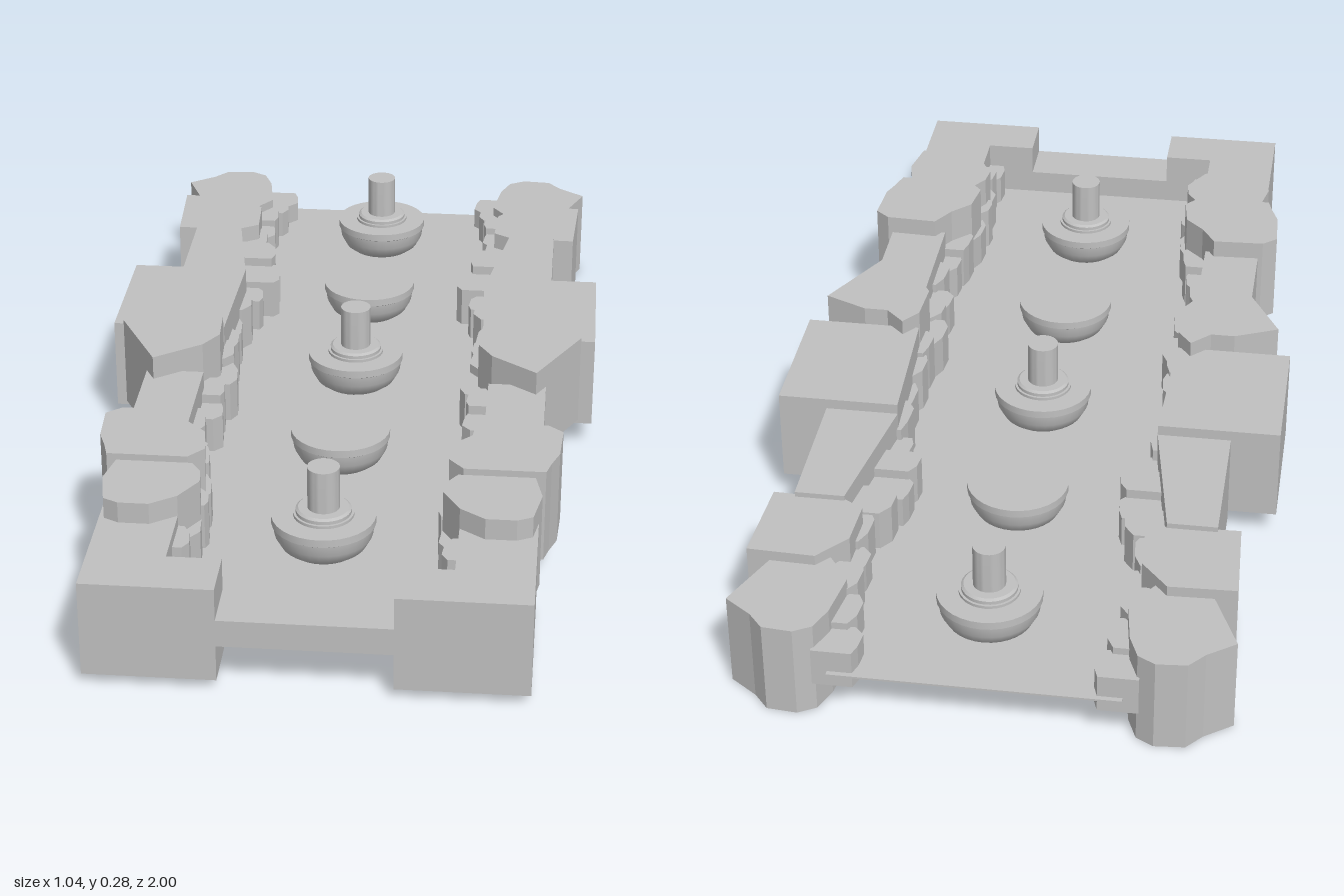
import * as THREE from 'three';
import { toCreasedNormals } from 'three/addons/utils/BufferGeometryUtils.js';

const stone = new THREE.MeshStandardMaterial({ color: 0xc0c0c0 });
stone.name = 'light grey';

// Upright prism from a plan outline of [x, z] points, between two heights
function prism(name, outline, y0, y1, side = 1) {
  const shape = new THREE.Shape(outline.map(([x, z]) => new THREE.Vector2(x * side, -z)));
  const geo = new THREE.ExtrudeGeometry(shape, { depth: y1 - y0, bevelEnabled: false });
  geo.rotateX(-Math.PI / 2).translate(0, y0, 0);
  const mesh = new THREE.Mesh(geo, stone);
  mesh.name = name;
  return mesh;
}

function box(name, x0, x1, y0, y1, z0, z1) {
  const mesh = new THREE.Mesh(new THREE.BoxGeometry(x1 - x0, y1 - y0, z1 - z0), stone);
  mesh.position.set((x0 + x1) / 2, (y0 + y1) / 2, (z0 + z1) / 2);
  mesh.name = name;
  return mesh;
}

function lathe(name, profile) {
  const pts = profile.map(([r, y]) => new THREE.Vector2(r, y));
  const mesh = new THREE.Mesh(toCreasedNormals(new THREE.LatheGeometry(pts, 32), 0.6), stone);
  mesh.name = name;
  return mesh;
}

// Large border blocks of one side, front to back: name, bottom, top, outline
const BLOCKS = [
  ['frontBlock', 0.025, 0.222, [[0.165, 1], [0.42, 1], [0.42, 0.69], [0.27, 0.69], [0.27, 0.89], [0.165, 0.89]]],
  ['roundRock', 0.068, 0.266, [[0.26, 0.61], [0.41, 0.61], [0.425, 0.68], [0.41, 0.76], [0.38, 0.775],
    [0.32, 0.775], [0.27, 0.74], [0.235, 0.68], [0.24, 0.64]]],
  ['bulgingRock', 0.08, 0.277, [[0.32, 0.41], [0.43, 0.415], [0.46, 0.44], [0.455, 0.53], [0.44, 0.57],
    [0.43, 0.605], [0.27, 0.605], [0.24, 0.57], [0.25, 0.5], [0.29, 0.46]]],
  ['sideBlock', 0.047, 0.238, [[0.3, 0.17], [0.42, 0.17], [0.42, 0.43], [0.3, 0.43]]],
  ['turnedBlock', 0.092, 0.288, [[0.49, 0.04], [0.4, 0.21], [0.305, 0.14], [0.275, 0.09], [0.28, 0],
    [0.31, -0.04], [0.35, 0], [0.4, 0]]],
  ['wideBlock', 0.057, 0.255, [[0.27, -0.31], [0.52, -0.31], [0.52, -0.01], [0.28, -0.01]]],
  ['longBlock', 0.038, 0.233, [[0.32, -0.61], [0.42, -0.61], [0.42, -0.31], [0.27, -0.31]]],
  ['slantedRock', 0.027, 0.222, [[0.465, -0.6], [0.475, -0.79], [0.34, -0.795], [0.285, -0.73], [0.28, -0.63], [0.32, -0.605]]],
  ['backRock', 0.003, 0.2, [[0.485, -0.92], [0.43, -0.79], [0.32, -0.76], [0.27, -0.83], [0.285, -0.93],
    [0.305, -0.98], [0.34, -1], [0.4, -0.995], [0.43, -0.96]]],
];

// Small stones along the inner edge: back z, front z, inner x, outer x, bottom, top
const PEBBLES = [
  [-0.99, -0.91, 0.22, 0.31, 0.07, 0.15], [-0.92, -0.83, 0.235, 0.31, 0.06, 0.165],
  [-0.84, -0.75, 0.25, 0.34, 0.075, 0.18], [-0.76, -0.68, 0.25, 0.31, 0.06, 0.165],
  [-0.69, -0.59, 0.26, 0.33, 0.07, 0.185], [-0.6, -0.51, 0.23, 0.33, 0.065, 0.19],
  [-0.52, -0.44, 0.21, 0.32, 0.08, 0.17], [-0.45, -0.38, 0.205, 0.3, 0.07, 0.19],
  [-0.39, -0.31, 0.235, 0.3, 0.06, 0.175], [-0.32, -0.21, 0.25, 0.3, 0.075, 0.2],
  [-0.22, -0.11, 0.26, 0.3, 0.07, 0.18], [-0.12, -0.03, 0.255, 0.3, 0.06, 0.2],
  [-0.04, 0.05, 0.255, 0.32, 0.056, 0.21], [0.03, 0.13, 0.238, 0.32, 0.066, 0.19],
  [0.12, 0.2, 0.255, 0.32, 0.07, 0.2], [0.19, 0.27, 0.25, 0.32, 0.075, 0.18],
  [0.26, 0.36, 0.275, 0.32, 0.07, 0.2], [0.35, 0.43, 0.26, 0.32, 0.08, 0.18],
  [0.42, 0.51, 0.245, 0.33, 0.075, 0.2], [0.5, 0.6, 0.23, 0.3, 0.066, 0.18],
  [0.59, 0.66, 0.225, 0.3, 0.07, 0.2], [0.65, 0.75, 0.23, 0.3, 0.08, 0.18],
  [0.74, 0.82, 0.24, 0.3, 0.07, 0.2], [0.8, 0.885, 0.23, 0.29, 0.075, 0.17],
];

function pebbleOutline([z0, z1, x0, x1], i) {
  const d = z1 - z0, c = 0.012 + 0.006 * (i % 3);
  return [[x0 + c, z0], [x1, z0], [x1, z1], [x0 + 0.03 - c, z1], [x0, z1 - d * 0.25], [x0 + 0.004, z0 + d * 0.3]];
}

function createBorder(side) {
  const border = new THREE.Group();
  border.name = side > 0 ? 'leftBorder' : 'rightBorder';
  for (const [name, y0, y1, outline] of BLOCKS) border.add(prism(name, outline, y0, y1, side));
  PEBBLES.forEach((p, i) => border.add(prism('edgeStone', pebbleOutline(p, i), p[4], p[5], side)));
  return border;
}

function createBowl(z, withPost) {
  const bowl = new THREE.Group();
  bowl.name = withPost ? 'bowlWithPost' : 'plainBowl';
  bowl.add(lathe('bowl', [[0, 0.092], [0.035, 0.094], [0.065, 0.101], [0.085, 0.116], [0.097, 0.138],
    [0.1, 0.16], [0.103, 0.162], [0.103, 0.178], [0, 0.178]]));
  if (withPost) {
    bowl.add(lathe('collar', [[0.06, 0.177], [0.06, 0.184], [0.055, 0.184], [0.055, 0.191], [0.05, 0.195], [0, 0.195]]));
    bowl.add(lathe('post', [[0.032, 0.19], [0.032, 0.284], [0, 0.284]]));
  }
  bowl.position.z = z;
  return bowl;
}

export function createModel() {
  const model = new THREE.Group();
  model.name = 'stoneBasin';
  model.add(box('floor', -0.28, 0.28, 0.1, 0.104, -1, 0.89));
  model.add(box('frontSill', -0.166, 0.166, 0.1, 0.156, 0.89, 1));
  model.add(createBorder(1), createBorder(-1));
  [-0.795, -0.435, -0.078, 0.277, 0.632].forEach((z, i) => model.add(createBowl(z, i % 2 === 0)));
  return model;
}
